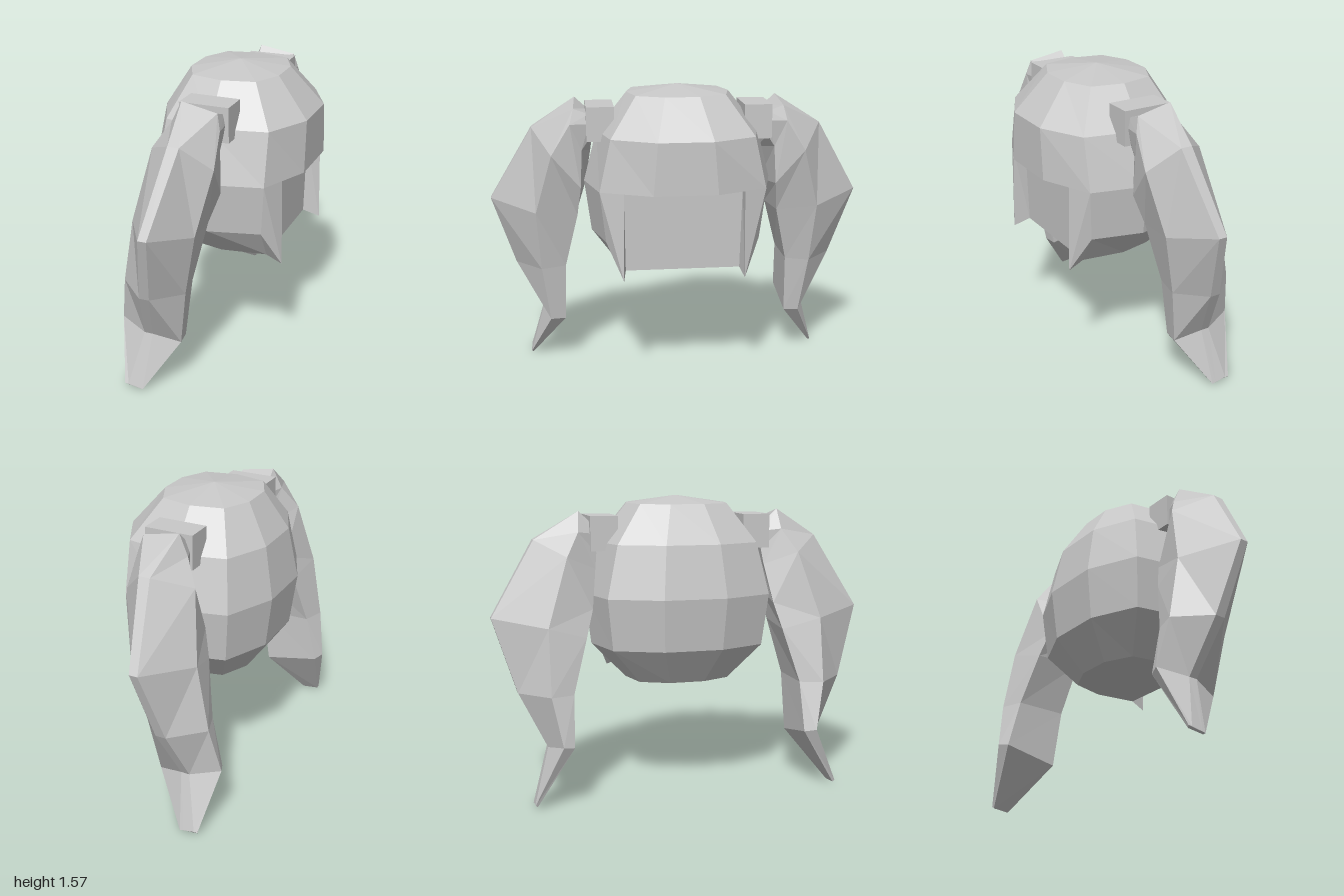
import * as THREE from 'three';

const hair = new THREE.MeshStandardMaterial({ color: 0xc8c8c8, flatShading: true, side: THREE.DoubleSide });
hair.name = 'hair grey';

// Mesh from a list of convex polygons, each a loop of [x, y, z] corners
function polyMesh(name, polys) {
  const pos = [];
  for (const p of polys)
    for (let i = 1; i < p.length - 1; i++) pos.push(...p[0], ...p[i], ...p[i + 1]);
  const g = new THREE.BufferGeometry();
  g.setAttribute('position', new THREE.Float32BufferAttribute(pos, 3));
  g.computeVertexNormals();
  const m = new THREE.Mesh(g, hair);
  m.name = name;
  return m;
}

// Side faces between successive rings; skip(row, side) leaves openings
function loft(rings, skip = () => false) {
  const polys = [];
  for (let i = 0; i < rings.length - 1; i++) {
    const a = rings[i], b = rings[i + 1], n = a.length;
    for (let j = 0; j < n; j++) {
      const k = (j + 1) % n;
      if (!skip(i, j)) polys.push([a[j], b[j], b[k]], [a[j], b[k], a[k]]);
    }
  }
  return polys;
}

// Ten-sided head ring; fx is the radius on the face side (+x)
function headRing(y, rx, rz, fx = rx) {
  const cx = [0, 0.71, 1, 1, 0.71, 0, -0.71, -1, -1, -0.71];
  const cz = [1, 0.86, 0.33, -0.33, -0.86, -1, -0.86, -0.33, 0.33, 0.86];
  return cx.map((c, i) => [c * (c > 0 ? fx : rx), y, cz[i] * rz]);
}

const mirror = (p, s) => [p[0], p[1], p[2] * s];
const orient = (poly, s) => {
  const q = poly.map(p => mirror(p, s));
  return s < 0 ? q.reverse() : q;
};

function makeCap() {
  const cap = new THREE.Group();
  cap.name = 'hairCap';
  const rings = [
    headRing(1.53, 0.24, 0.27),
    headRing(1.33, 0.36, 0.43, 0.41),
    headRing(1.06, 0.41, 0.5),
    headRing(0.79, 0.375, 0.465),
    headRing(0.6, 0.24, 0.28),
  ];
  rings[4][1] = [0.26, 0.63, 0.3];
  rings[4][4] = [0.26, 0.63, -0.3];

  // Shell, open at the face below the fringe
  const polys = loft(rings, (row, j) => row >= 2 && j >= 1 && j <= 3);
  const top = rings[0];
  top.forEach((p, j) => polys.push([[0, 1.57, 0], p, top[(j + 1) % 10]]));
  const base = rings[4].filter((p, j) => j !== 2 && j !== 3);
  base.forEach((p, j) => polys.push([[0, 0.6, 0], base[(j + 1) % base.length], p]));
  cap.add(polyMesh('hairShell', polys));

  // Recessed face panel and underside of the fringe
  cap.add(polyMesh('facePanel', [
    [[0.27, 1.06, 0.31], [0.26, 0.63, 0.3], [0.26, 0.63, -0.3], [0.27, 1.06, -0.31]],
  ]));
  cap.add(polyMesh('fringeUnderside', [[
    [0.27, 1.06, 0.31], [0.27, 1.06, -0.31], [0.344, 1.06, -0.31],
    [0.41, 1.06, -0.165], [0.41, 1.06, 0.165], [0.344, 1.06, 0.31],
  ]]));

  // Pointed side locks framing the face
  for (const s of [1, -1]) {
    const root = [0.291, 1.06, 0.43], front = [0.344, 1.06, 0.31];
    const tip = [0.35, 0.6, 0.315], low = [0.266, 0.79, 0.4];
    const inTop = [0.27, 1.06, 0.31], inLow = [0.26, 0.63, 0.3];
    cap.add(polyMesh(s > 0 ? 'leftSideLock' : 'rightSideLock', [
      [root, low, tip], [root, tip, front],
      [front, tip, inLow, inTop],
      [low, inLow, tip],
    ].map(p => orient(p, s))));
  }
  return cap;
}

// Tail sections: outer ridge (2), front side, inner face (2), back side
const tailRings = [
  [[-0.09, 1.43, 0.47], [0.1, 1.43, 0.47], [0.11, 1.38, 0.47], [0.09, 1.3, 0.47], [-0.1, 1.28, 0.45], [-0.11, 1.38, 0.47]],
  [[-0.09, 1.495, 0.54], [0.1, 1.46, 0.55], [0.12, 1.38, 0.57], [0.09, 1.24, 0.51], [-0.12, 1.2, 0.46], [-0.14, 1.39, 0.55]],
  [[-0.06, 1.35, 0.77], [0, 1.35, 0.77], [0.13, 1.22, 0.67], [0.1, 1.04, 0.52], [-0.2, 1.0, 0.49], [-0.215, 1.27, 0.62]],
  [[-0.115, 0.96, 1], [-0.07, 0.96, 1], [0.065, 0.9, 0.76], [0.04, 0.88, 0.54], [-0.24, 0.86, 0.53], [-0.28, 0.92, 0.73]],
  [[-0.185, 0.58, 0.88], [-0.13, 0.58, 0.88], [0, 0.57, 0.74], [-0.02, 0.58, 0.61], [-0.3, 0.58, 0.61], [-0.34, 0.58, 0.73]],
  [[-0.235, 0.3, 0.74], [-0.19, 0.3, 0.74], [-0.05, 0.26, 0.7], [-0.06, 0.26, 0.62], [-0.36, 0.32, 0.62], [-0.385, 0.33, 0.68]],
  [[-0.3, 0.02, 0.82], [-0.24, 0.01, 0.82], [-0.22, 0.005, 0.82], [-0.225, 0, 0.81], [-0.315, 0.01, 0.81], [-0.32, 0.02, 0.82]],
];

function makeTail(s) {
  const tail = new THREE.Group();
  tail.name = s > 0 ? 'leftTail' : 'rightTail';
  const polys = loft(tailRings);
  polys.push(tailRings[0], [...tailRings[6]].reverse());
  tail.add(polyMesh('tailHair', polys.map(p => orient(p, s))));

  // Square tie at the root
  const tie = new THREE.Mesh(new THREE.BoxGeometry(0.26, 0.18, 0.145), hair);
  tie.name = 'hairTie';
  tie.position.set(0, 1.38, s * 0.413);
  tail.add(tie);
  return tail;
}

export function createModel() {
  const model = new THREE.Group();
  model.name = 'twinTailHair';
  model.add(makeCap(), makeTail(1), makeTail(-1));
  return model;
}
